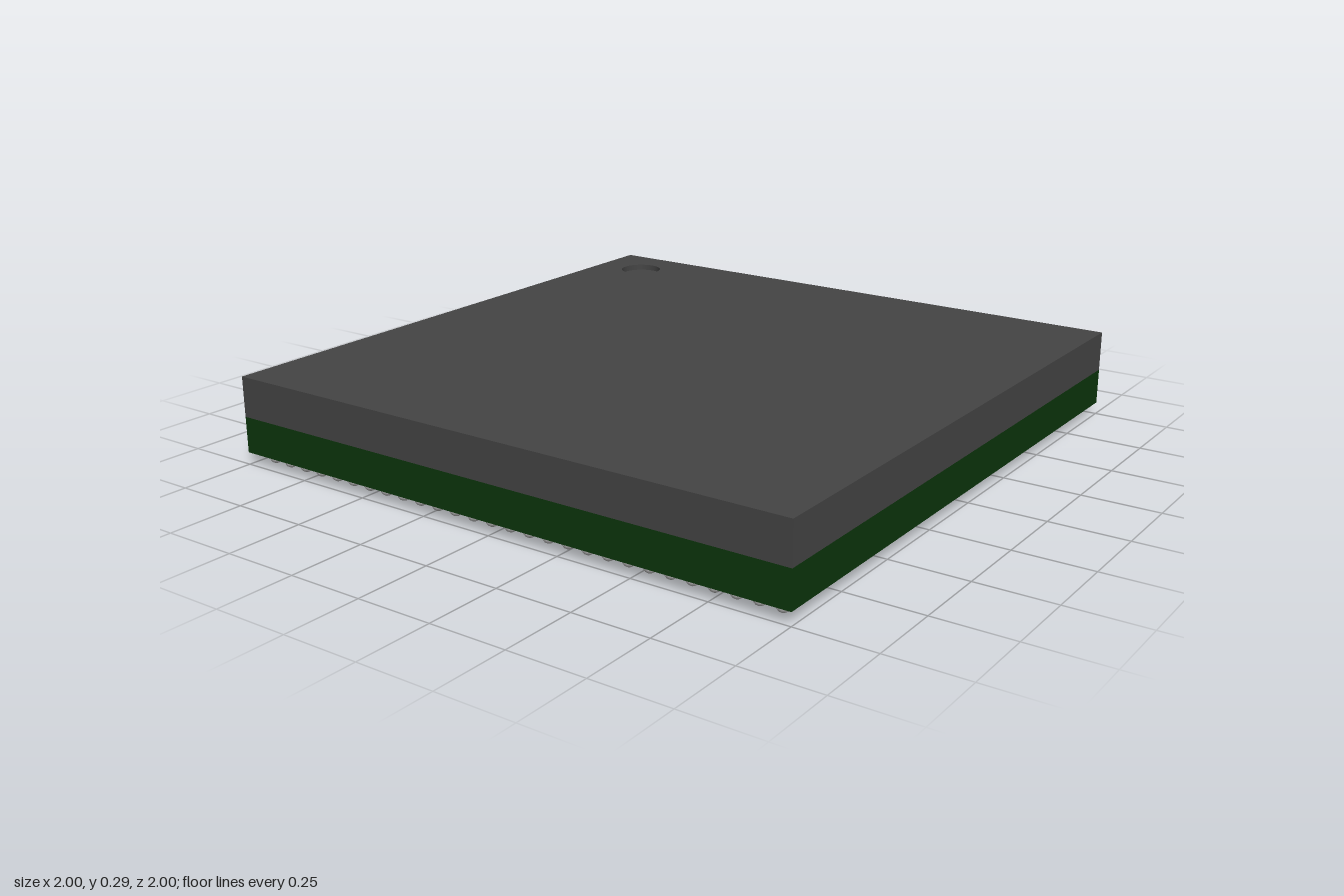
import * as THREE from 'three';
import { mergeGeometries } from 'three/addons/utils/BufferGeometryUtils.js';

const BALLS = 28, PITCH = 0.0697, BALL_RADIUS = 0.0215;
const BASE_BOTTOM = 0.04, BASE_TOP = 0.158, TOP = 0.29;
const MARK = { x: -0.82, z: -0.83, radius: 0.074, depth: 0.02 };

function material(name, color) {
  const m = new THREE.MeshStandardMaterial({ color });
  m.name = name;
  return m;
}

export function createModel() {
  const group = new THREE.Group();
  group.name = 'chipPackage';
  const charcoal = material('charcoal', 0x444444);
  const green = material('darkGreen', 0x0c350c);
  const silver = material('silver', 0xc0c0c0);

  function add(name, geometry, mat) {
    const mesh = new THREE.Mesh(geometry, mat);
    mesh.name = name;
    group.add(mesh);
    return mesh;
  }

  // Green carrier board
  add('substrate', new THREE.BoxGeometry(2, BASE_TOP - BASE_BOTTOM, 2), green)
    .position.y = (BASE_TOP + BASE_BOTTOM) / 2;

  // Moulded cover with a round hole for the corner mark
  const outline = new THREE.Shape([
    new THREE.Vector2(-1, -1), new THREE.Vector2(1, -1),
    new THREE.Vector2(1, 1), new THREE.Vector2(-1, 1),
  ]);
  const hole = new THREE.Path();
  hole.absarc(MARK.x, -MARK.z, MARK.radius, 0, Math.PI * 2, true);
  outline.holes.push(hole);
  const cover = new THREE.ExtrudeGeometry(outline, {
    depth: TOP - BASE_TOP, bevelEnabled: false, curveSegments: 32,
  });
  cover.rotateX(-Math.PI / 2);
  add('cover', cover, charcoal).position.y = BASE_TOP;

  // Floor of the shallow corner mark
  const floor = new THREE.CircleGeometry(MARK.radius, 32);
  floor.rotateX(-Math.PI / 2);
  add('cornerMarkFloor', floor, charcoal).position.set(MARK.x, TOP - MARK.depth, MARK.z);

  // Square grid of solder balls underneath
  const ball = new THREE.SphereGeometry(BALL_RADIUS, 10, 8);
  const balls = [];
  const start = -(BALLS - 1) * PITCH / 2;
  for (let i = 0; i < BALLS; i++) {
    for (let j = 0; j < BALLS; j++) {
      balls.push(ball.clone().translate(start + i * PITCH, BALL_RADIUS, start + j * PITCH));
    }
  }
  add('solderBalls', mergeGeometries(balls), silver);

  return group;
}
